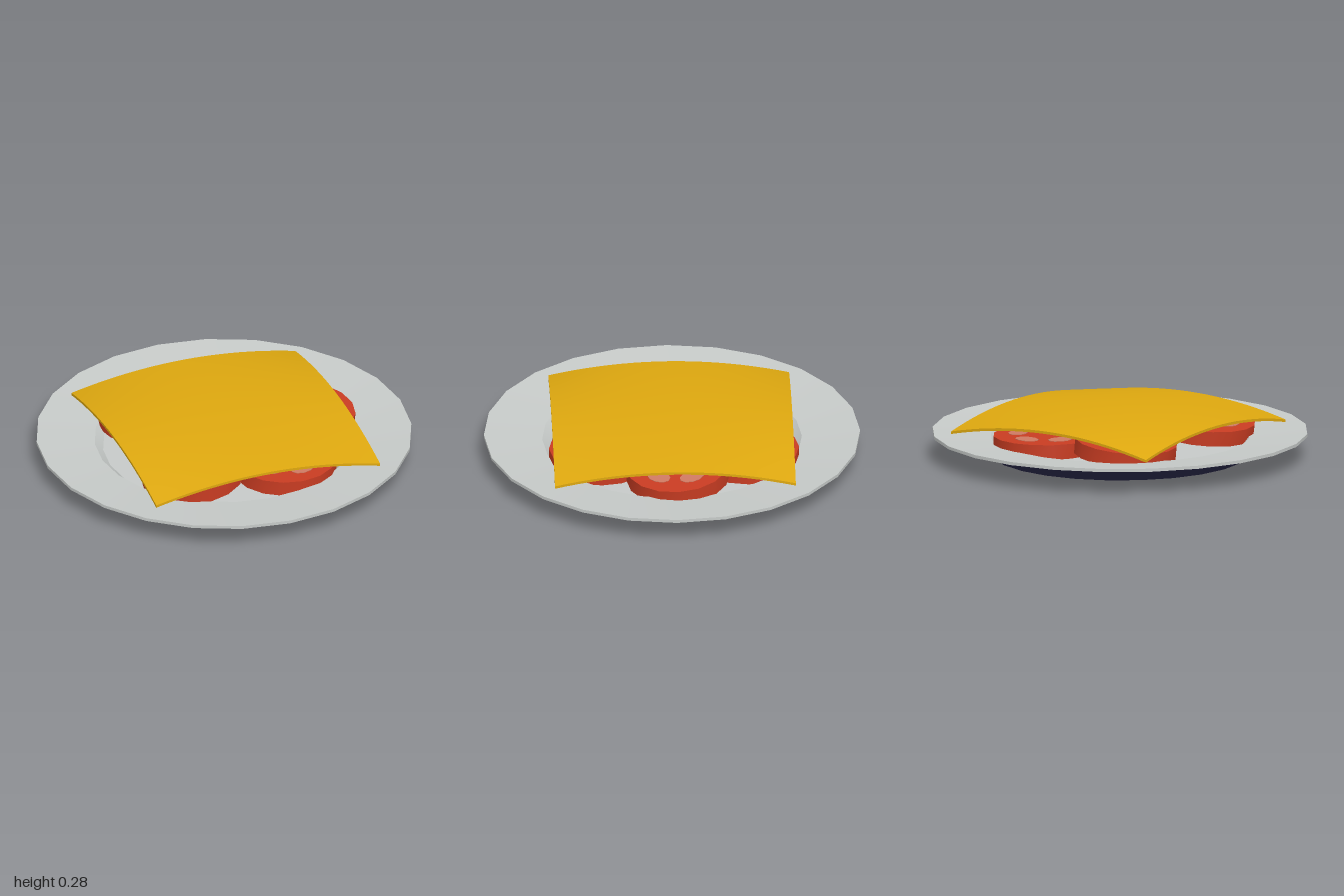
import * as THREE from 'three';
import { toCreasedNormals } from 'three/addons/utils/BufferGeometryUtils.js';

function material(name, color) {
  const m = new THREE.MeshStandardMaterial({ color });
  m.name = name;
  return m;
}

function mesh(name, geometry, mat, parent) {
  const m = new THREE.Mesh(geometry, mat);
  m.name = name;
  parent.add(m);
  return m;
}

// Turned shape with crisp creases between the profile bands
function lathe(points, sides) {
  const profile = points.map(([r, y]) => new THREE.Vector2(r, y));
  return toCreasedNormals(new THREE.LatheGeometry(profile, sides), 0.3);
}

export function createModel() {
  const model = new THREE.Group();
  model.name = 'cheeseAndTomatoPlate';

  const glaze = material('pale grey glaze', 0xc6cac8);
  const navy = material('navy underside', 0x29284a);
  const red = material('tomato red', 0xc83c22);
  const pulp = material('tomato pulp', 0xcf7a62);
  const yellow = material('cheese yellow', 0xdea80f);

  // Plate: dark underside with a foot, pale top with a shallow well
  const plate = new THREE.Group();
  plate.name = 'plate';
  model.add(plate);
  mesh('plateUnderside', lathe([[0, 0.005], [0.68, 0.018], [0.74, 0.07], [1, 0.13]], 24), navy, plate);
  mesh('plateTop', lathe([[1, 0.13], [1, 0.147], [0.69, 0.118], [0.645, 0.078], [0, 0.078]], 24), glaze, plate);

  // Tomato slices: centre x, z, height of the top, slope along x and z
  const radius = 0.275, thickness = 0.08;
  const slices = [
    [0.2, 0.385, 0.165, 0, 0],
    [0.21, -0.395, 0.165, 0, 0],
    [0.46, -0.015, 0.197, -0.08, -0.06],
    [-0.31, 0.335, 0.195, 0.11, 0],
    [-0.3, -0.365, 0.192, 0.1, 0],
  ];
  const sliceGeometry = toCreasedNormals(
    new THREE.CylinderGeometry(radius, radius, thickness, 16).translate(0, -thickness / 2, 0), 0.6);
  const pocketGeometry = new THREE.CylinderGeometry(0.05, 0.05, 0.004, 10);
  const up = new THREE.Vector3(0, 1, 0);

  slices.forEach(([x, z, top, slopeX, slopeZ], i) => {
    const slice = new THREE.Group();
    slice.name = `tomatoSlice${i + 1}`;
    slice.position.set(x, top, z);
    slice.quaternion.setFromUnitVectors(up, new THREE.Vector3(-slopeX, 1, -slopeZ).normalize());
    model.add(slice);
    mesh('tomatoFlesh', sliceGeometry, red, slice);
    // Seed pockets spaced round the cut face
    for (let k = 0; k < 5; k++) {
      const a = (k / 5) * Math.PI * 2 + i;
      const pocket = mesh('seedPocket', pocketGeometry, pulp, slice);
      pocket.position.set(Math.cos(a) * 0.15, 0.001, Math.sin(a) * 0.15);
      pocket.rotation.y = -a;
      pocket.scale.z = 1.4;
    }
  });

  // Cheese: thin square sheet drooping towards its edges and corners
  const cheese = new THREE.BoxGeometry(1.27, 0.014, 1.28, 20, 1, 20);
  const p = cheese.attributes.position;
  for (let i = 0; i < p.count; i++) {
    const u = (p.getX(i) / 0.635) ** 2, v = (p.getZ(i) / 0.64) ** 2;
    p.setY(i, p.getY(i) + 0.273 - 0.033 * (u + v) - 0.042 * u * v);
  }
  cheese.computeVertexNormals();
  mesh('cheeseSheet', cheese, yellow, model).position.x = 0.01;

  return model;
}
